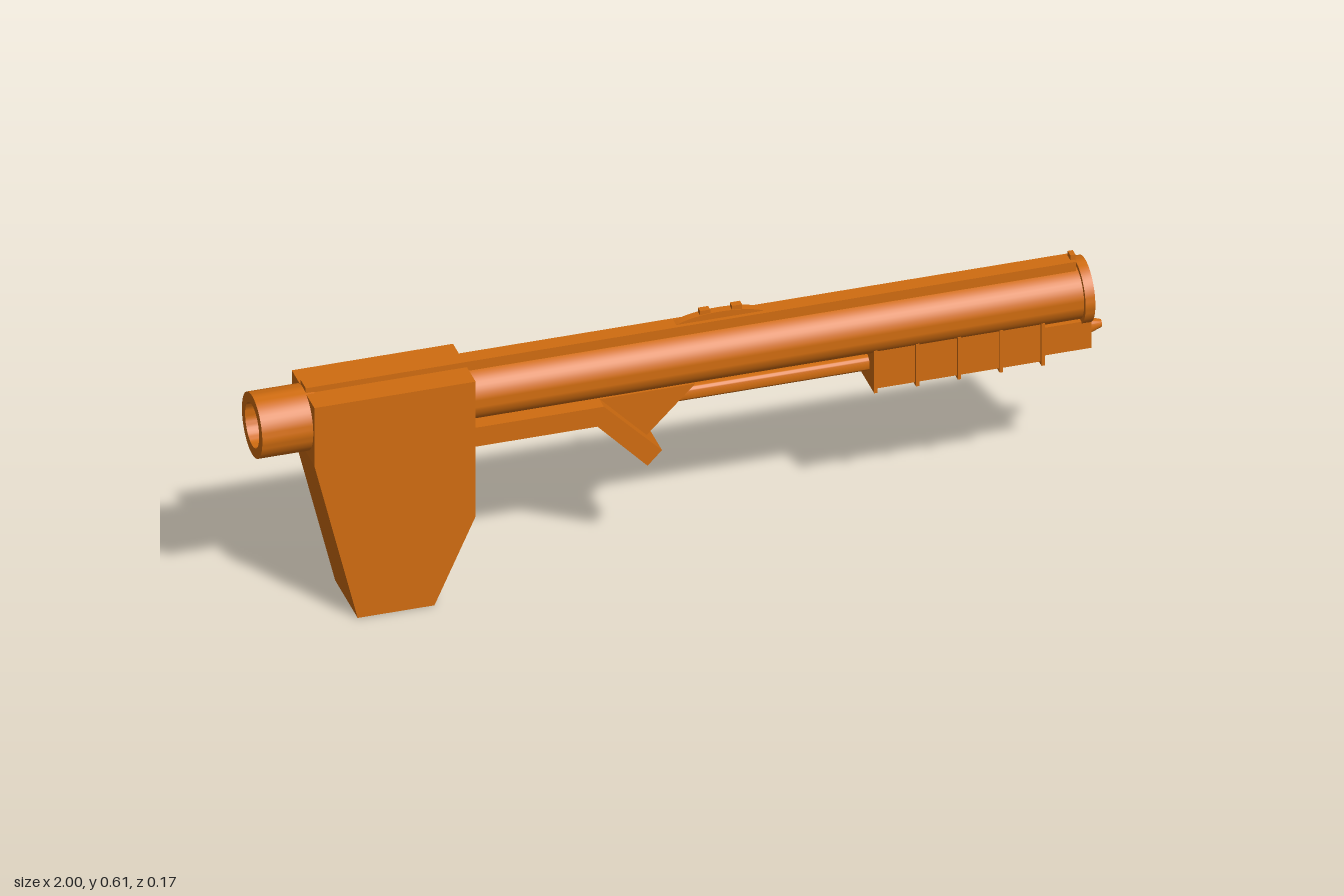
import * as THREE from 'three';
import { toCreasedNormals } from 'three/addons/utils/BufferGeometryUtils.js';

const material = new THREE.MeshStandardMaterial({ color: 0xd06c10 });

export function createModel() {
  const model = new THREE.Group();

  const add = (name, geometry) => {
    const mesh = new THREE.Mesh(geometry, material);
    mesh.name = name;
    model.add(mesh);
    return mesh;
  };

  // Box given by its x and y limits and its half width in z
  const block = (name, x0, x1, y0, y1, halfWidth) =>
    add(name, new THREE.BoxGeometry(x1 - x0, y1 - y0, halfWidth * 2))
      .position.set((x0 + x1) / 2, (y0 + y1) / 2, 0);

  // Side outline extruded evenly across z
  const slab = (name, outline, halfWidth) => {
    const shape = new THREE.Shape(outline.map(([x, y]) => new THREE.Vector2(x, y)));
    const geometry = new THREE.ExtrudeGeometry(shape, { depth: halfWidth * 2, bevelEnabled: false });
    add(name, geometry.translate(0, 0, -halfWidth));
  };

  // Turned part along x, from [x, radius] points
  const turned = (name, profile, y) => {
    const points = profile.map(([x, r]) => new THREE.Vector2(r, x));
    const geometry = new THREE.LatheGeometry(points, 48).rotateZ(-Math.PI / 2);
    add(name, toCreasedNormals(geometry, 0.6)).position.y = y;
  };

  // Hollow barrel with a wide rear tube and a muzzle collar
  turned('barrel', [
    [-1, 0.053], [-1, 0.077], [-0.86, 0.077], [-0.86, 0.066], [0.94, 0.066],
    [0.94, 0.077], [0.963, 0.077], [0.963, 0.053], [-1, 0.053],
  ], 0.5);

  // Tapered stock that also closes the bore
  slab('stock', [
    [-0.88, 0.573], [-0.88, 0.42], [-0.778, 0], [-0.597, 0], [-0.5, 0.217], [-0.5, 0.573],
  ], 0.085);

  // Top rib and sights
  block('topRib', -0.88, 0.935, 0.555, 0.587, 0.02);
  block('frontSight', 0.925, 0.937, 0.57, 0.6, 0.01);
  const rearSight = new THREE.CylinderGeometry(0.13, 0.13, 0.02, 48).rotateX(Math.PI / 2);
  add('rearSight', rearSight.scale(1, 0.32, 1)).position.set(0.1, 0.562, 0);
  for (const x of [0.065, 0.14]) block('sightBump', x - 0.012, x + 0.012, 0.59, 0.612, 0.008);

  // Lower receiver, angled grip and its brace
  block('lowerReceiver', -0.5, -0.19, 0.385, 0.435, 0.06);
  slab('angledGrip', [
    [-0.25, 0.435], [-0.205, 0.385], [-0.087, 0.26], [-0.053, 0.295], [-0.19, 0.435],
  ], 0.06);
  slab('gripBrace', [[-0.19, 0.437], [-0.08, 0.322], [0.035, 0.437]], 0.03);

  // Rod under the barrel with a tapered tip
  turned('rod', [
    [-0.06, 0], [-0.06, 0.02], [0.968, 0.02], [1, 0.009], [1, 0],
  ], 0.402);

  // Sliding fore-end with ribs, and the rod mount ahead of it
  block('foreEnd', 0.45, 0.85, 0.357, 0.455, 0.048);
  for (let i = 0; i < 5; i++) {
    const x = 0.453 + i * 0.0985;
    block('foreEndRib', x - 0.004, x + 0.004, 0.349, 0.46, 0.054);
  }
  block('rodMount', 0.85, 0.963, 0.37, 0.443, 0.046);

  return model;
}
